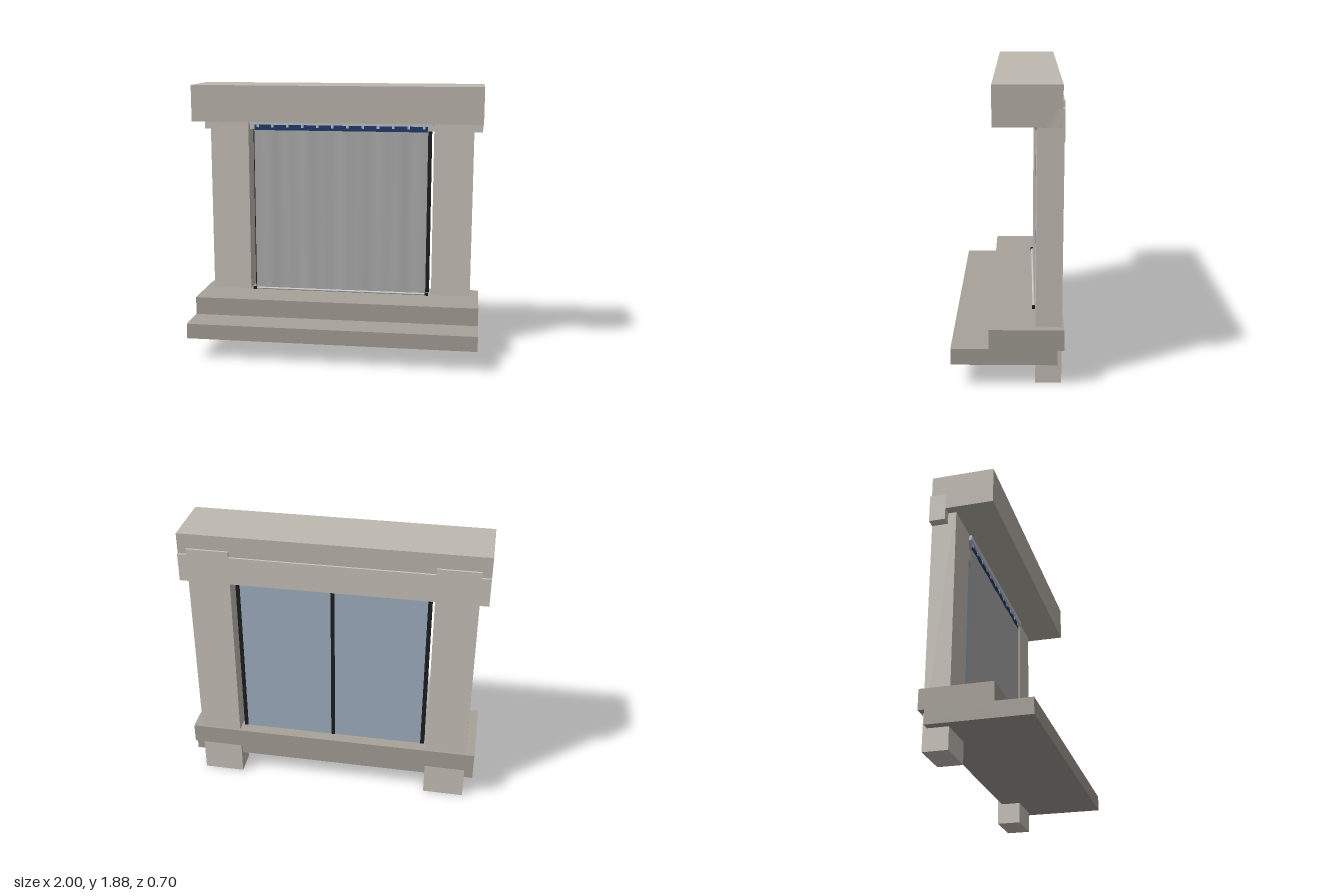
import * as THREE from 'three';

const mat = (color, side = THREE.FrontSide) => {
  const m = new THREE.MeshStandardMaterial({ color });
  m.side = side;
  return m;
};

export function createModel() {
  const group = new THREE.Group();
  const pale = mat(0xcdc7be), beamStone = mat(0xc0bab0), baseStone = mat(0xa9a39a);
  const black = mat(0x1c1f22), glass = mat(0xa3b3c6), navy = mat(0x1f3d6e);
  const silver = mat(0xcccccc), fabric = mat(0xb2b2b2, THREE.DoubleSide);

  // Box given by its limits along each axis
  const box = (name, material, [x0, x1], [y0, y1], [z0, z1]) => {
    const mesh = new THREE.Mesh(new THREE.BoxGeometry(x1 - x0, y1 - y0, z1 - z0), material);
    mesh.position.set((x0 + x1) / 2, (y0 + y1) / 2, (z0 + z1) / 2);
    mesh.name = name;
    group.add(mesh);
    return mesh;
  };

  // Stepped sill with a ledge overhanging at the back
  const profile = new THREE.Shape([
    [0.35, 0.145], [0.35, 0.25], [0.115, 0.25], [0.115, 0.375],
    [-0.352, 0.375], [-0.352, 0.24], [-0.31, 0.24], [-0.31, 0.145],
  ].map(([z, y]) => new THREE.Vector2(-z, y)));
  const sillGeo = new THREE.ExtrudeGeometry(profile, { depth: 2, bevelEnabled: false });
  sillGeo.translate(0, 0, -1).rotateY(Math.PI / 2);
  const sill = new THREE.Mesh(sillGeo, baseStone);
  sill.name = 'steppedSill';
  group.add(sill);

  // Top beam and the lintel behind it
  box('topBeam', beamStone, [-1, 1], [1.63, 1.88], [-0.325, 0.09]);
  box('lintel', pale, [-1, 1], [1.55, 1.74], [-0.338, -0.23]);

  // Posts, window stiles and hem caps, mirrored
  for (const s of [-1, 1]) {
    const side = s < 0 ? 'right' : 'left';
    const span = (a, b) => (s > 0 ? [a, b] : [-b, -a]);
    box(side + 'Post', pale, span(0.663, 0.94), [0, 1.78], [-0.338, -0.175]);
    box(side + 'Stile', black, span(0.618, 0.645), [0.375, 1.55], [-0.276, -0.256]);
    box(side + 'HemCap', black, span(0.618, 0.642), [0.375, 0.393], [-0.178, -0.156]);
  }

  // Glazing with a centre mullion
  box('glass', glass, [-0.64, 0.64], [0.375, 1.55], [-0.273, -0.26]);
  box('mullion', black, [-0.013, 0.013], [0.375, 1.55], [-0.276, -0.257]);

  // Blind: softly rippled sheet
  const sheetGeo = new THREE.PlaneGeometry(1.24, 1.165, 96, 12);
  const p = sheetGeo.attributes.position;
  for (let i = 0; i < p.count; i++) {
    const x = p.getX(i), y = p.getY(i);
    p.setZ(i, 0.0015 * Math.sin(x * 21 + 0.4 * y) + 0.001 * Math.sin(x * 47));
  }
  sheetGeo.computeVertexNormals();
  const sheet = new THREE.Mesh(sheetGeo, fabric);
  sheet.name = 'blindSheet';
  sheet.position.set(0, 0.9725, -0.173);
  group.add(sheet);

  // Bottom hem bar
  const hem = new THREE.Mesh(new THREE.CylinderGeometry(0.008, 0.008, 1.24, 12), silver);
  hem.name = 'hemBar';
  hem.rotation.z = Math.PI / 2;
  hem.position.set(0, 0.384, -0.167);
  group.add(hem);

  // Head rail, header band and its clips
  box('headRail', mat(0xc3cad6), [-0.655, 0.655], [1.595, 1.632], [-0.182, -0.16]);
  box('headerBand', navy, [-0.618, 0.618], [1.55, 1.588], [-0.178, -0.17]);
  for (let i = 0; i < 12; i++) {
    const x = -0.594 + i * 0.108;
    box('clip', silver, [x - 0.009, x + 0.009], [1.57, 1.598], [-0.178, -0.167]);
  }
  return group;
}
